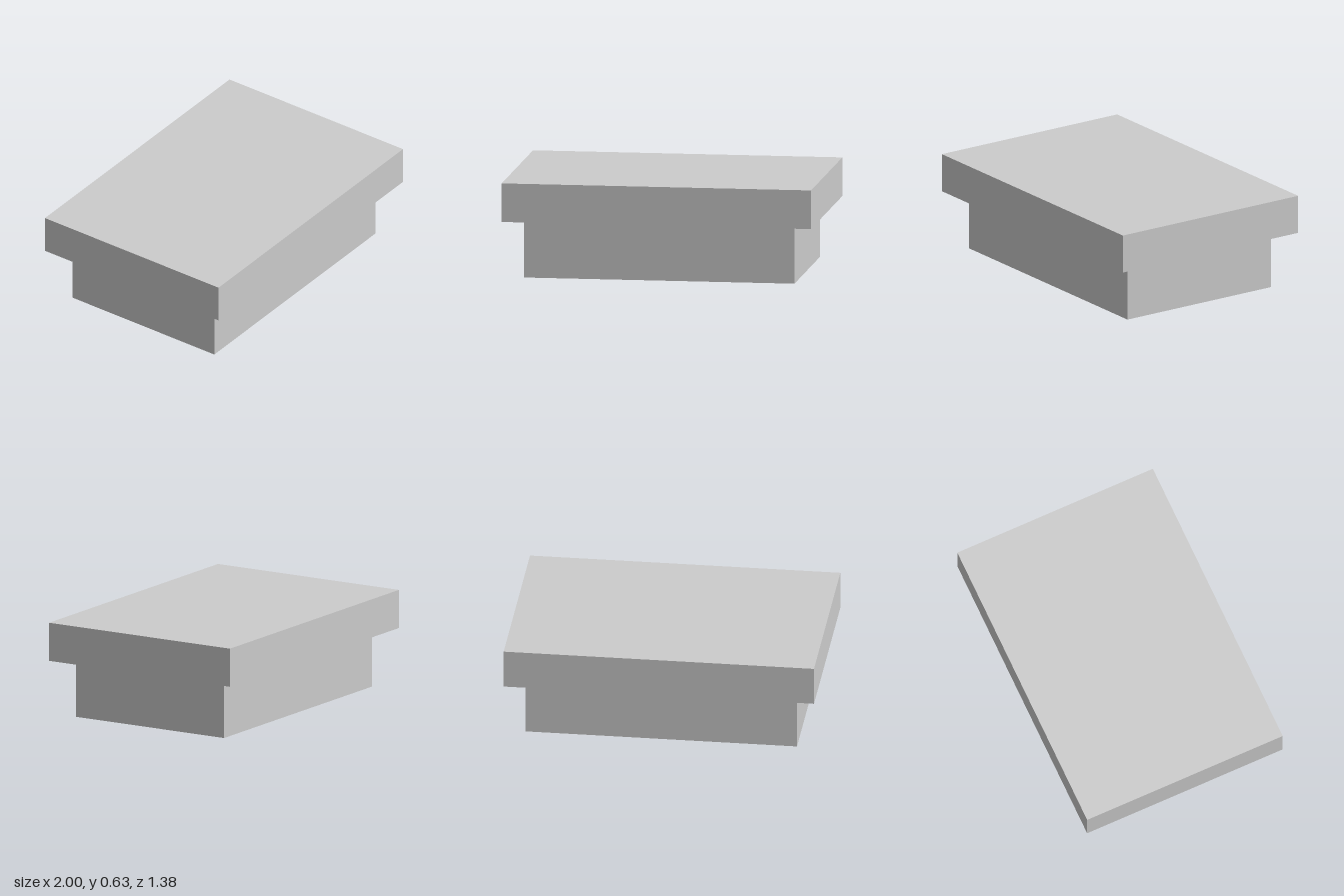
import * as THREE from 'three';

export function createModel() {
  const group = new THREE.Group();
  const material = new THREE.MeshStandardMaterial({ color: 0xcccccc });

  // Adds a centred block resting at height y
  function block(name, width, height, depth, y) {
    const mesh = new THREE.Mesh(new THREE.BoxGeometry(width, height, depth), material);
    mesh.name = name;
    mesh.position.y = y + height / 2;
    group.add(mesh);
  }

  // Narrower base with an overhanging slab on top
  block('base', 1.75, 0.376, 1.125, 0);
  block('topSlab', 2, 0.25, 1.375, 0.376);

  return group;
}
